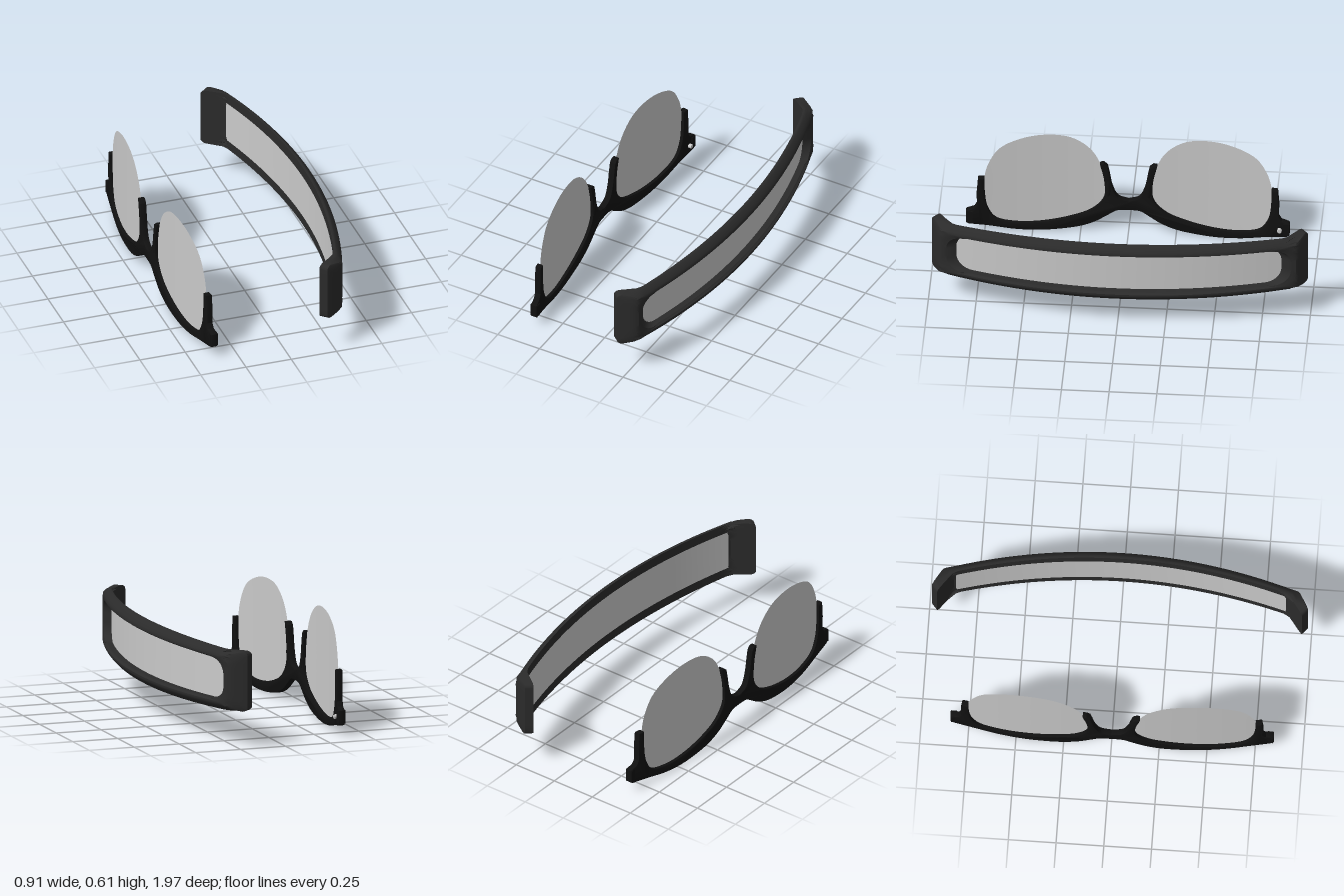
import * as THREE from 'three';
import { toCreasedNormals } from 'three/addons/utils/BufferGeometryUtils.js';

const mat = (color, side = THREE.FrontSide) => new THREE.MeshStandardMaterial({ color, side });
const lerp = THREE.MathUtils.lerp;

// Surface from a grid of points fn(i, j) -> [x, y, z]
function grid(ni, nj, fn) {
  const pos = [], index = [], w = nj + 1;
  for (let i = 0; i <= ni; i++) for (let j = 0; j <= nj; j++) pos.push(...fn(i, j));
  for (let i = 0; i < ni; i++) for (let j = 0; j < nj; j++) {
    const a = i * w + j;
    index.push(a, a + 1, a + w, a + 1, a + w + 1, a + w);
  }
  const g = new THREE.BufferGeometry();
  g.setAttribute('position', new THREE.Float32BufferAttribute(pos, 3));
  g.setIndex(index);
  return toCreasedNormals(g, 0.6);
}

const spline = (pts, n, closed = false) =>
  new THREE.CatmullRomCurve3(pts.map(([a, b]) => new THREE.Vector3(a, b, 0)), closed)
    .getPoints(n).map(p => [p.x, p.y]);

// ---- Visor ----
// Wraps flat (u, v) onto the curved band; d runs from inner face (0) to outer face (1)
function bend(u, v, d) {
  const a = Math.abs(u), k = Math.min(a / 0.9, 1), f = Math.max(0, (a - 0.9) / 0.1);
  const zi = 0.875 * k, zo = 0.935 * k;
  const inX = lerp(0.408 - 0.17 * zi * zi, 0.17, f), inZ = lerp(zi, 0.955, f);
  const outX = lerp(0.455 - 0.172 * zo * zo, 0.22, f), outZ = lerp(zo, 0.998, f);
  return [lerp(inX, outX, d), 0.3525 + v * (1 - 0.08 * a * a), Math.sign(u) * lerp(inZ, outZ, d)];
}

// Counter-clockwise rounded rectangle with a fixed number of points
function roundedLoop(w, h, r) {
  const pts = [], corners = [[1, 1], [-1, 1], [-1, -1], [1, -1]];
  corners.forEach(([sx, sy], c) => {
    for (let k = 0; k <= 8; k++) {
      const t = (c + k / 8) * Math.PI / 2;
      pts.push([sx * (w - r) + r * Math.cos(t), sy * (h - r) + r * Math.sin(t)]);
    }
    const [nx, ny] = corners[(c + 1) % 4], n = c % 2 ? 8 : 60, [px, py] = pts[pts.length - 1];
    const qx = c % 2 ? px : nx * (w - r), qy = c % 2 ? ny * (h - r) : py;
    for (let k = 1; k < n; k++) pts.push([lerp(px, qx, k / n), lerp(py, qy, k / n)]);
  });
  pts.push(pts[0]);
  return pts;
}

function visor() {
  const g = new THREE.Group();
  g.name = 'visor';
  const outer = roundedLoop(1, 0.1725, 0.025), hole = roundedLoop(0.875, 0.115, 0.085);
  // Rim section: [outer edge to opening, depth]
  const rim = [[0, 0], [0, 0.25], [0.06, 0.38], [0.3, 0.68], [0.5, 0.88], [0.7, 1], [0.85, 0.98],
    [0.93, 0.8], [1, 0.7], [1, 0], [0.8, 0], [0.6, 0], [0.4, 0], [0.2, 0], [0, 0]];
  const frame = grid(outer.length - 1, rim.length - 1, (i, k) => {
    const [t, d] = rim[k], u = lerp(outer[i][0], hole[i][0], t);
    const soft = Math.abs(outer[i][0]) > 0.95 && d > 0 ? 0.4 : 1;
    return bend(u, lerp(outer[i][1], hole[i][1], t), d ? 1 - (1 - d) * soft : 0);
  });
  const visorFrame = new THREE.Mesh(frame, mat(0x2b2b2b));
  visorFrame.name = 'visorFrame';
  const lens = new THREE.Mesh(
    grid(60, 1, (i, j) => bend((i / 30 - 1) * 0.89, (j - 0.5) * 0.238, -0.03)),
    mat(0xcccccc, THREE.DoubleSide));
  lens.name = 'visorLens';
  g.add(visorFrame, lens);
  return g;
}

// ---- Glasses ----
const glassesX = z => -0.4375 + 0.066 * (z / 0.84) ** 2;

// Lens edge as (z, y): held part from outer post to nose post, then free upper part
const heldEdge = [[0.752, 0.34], [0.75, 0.25], [0.735, 0.15], [0.69, 0.08], [0.58, 0.05], [0.45, 0.052],
  [0.3, 0.085], [0.19, 0.135], [0.13, 0.21], [0.128, 0.32], [0.15, 0.425]];
const freeEdge = [[0.205, 0.52], [0.3, 0.587], [0.42, 0.605], [0.55, 0.585], [0.67, 0.525], [0.73, 0.43]];

function glassesFrame() {
  const lower = [[0, 0.138], [0.06, 0.132], [0.11, 0.1], [0.17, 0.06], [0.25, 0.027], [0.36, 0.007],
    [0.48, 0], [0.6, 0.01], [0.72, 0.035], [0.835, 0.055]];
  const half = [
    ...spline(lower, 50),
    [0.847, 0.065], [0.847, 0.135], [0.835, 0.142], [0.805, 0.15], [0.79, 0.175], [0.792, 0.25], [0.785, 0.34],
    ...spline(heldEdge, 60),
    [0.13, 0.428], [0.11, 0.41],
    ...spline([[0.1, 0.36], [0.085, 0.28], [0.055, 0.215], [0, 0.195]], 12),
  ];
  const mirrored = half.slice(1, -1).reverse().map(([z, y]) => [-z, y]);
  const shape = new THREE.Shape([...half, ...mirrored].map(([z, y]) => new THREE.Vector2(z, y)));
  const b = 0.005;
  const geo = new THREE.ExtrudeGeometry(shape, {
    depth: 0.025, bevelThickness: b, bevelSize: b, bevelOffset: -b, bevelSegments: 2,
  }).translate(0, 0, -0.0125).rotateY(Math.PI / 2);
  const p = geo.attributes.position;
  for (let i = 0; i < p.count; i++) p.setX(i, p.getX(i) + glassesX(p.getZ(i)));
  return toCreasedNormals(geo, 0.5);
}

function glasses() {
  const g = new THREE.Group();
  g.name = 'glasses';
  const black = mat(0x111111), glass = mat(0xcccccc, THREE.DoubleSide);
  const add = (name, geo, material, x = 0, y = 0, z = 0) => {
    const m = new THREE.Mesh(geo, material);
    m.name = name;
    m.position.set(x, y, z);
    g.add(m);
    return m;
  };
  add('glassesFrame', glassesFrame(), black);
  const edge = spline([...heldEdge, ...freeEdge], 96, true);
  for (const s of [1, -1]) {
    const side = s > 0 ? 'left' : 'right';
    // Curved lens filled by rings around its centre
    add(side + 'Lens', grid(96, 8, (i, j) => {
      const z = s * lerp(0.44, edge[i][0], j / 8);
      return [glassesX(z), lerp(0.32, edge[i][1], j / 8), z];
    }), glass);
    add(side + 'NosePad', new THREE.SphereGeometry(1, 20, 14), black, -0.43, 0.27, s * 0.107)
      .scale.set(0.016, 0.07, 0.018);
    add(side + 'EndBlock', new THREE.BoxGeometry(0.04, 0.07, 0.03), black, -0.372, 0.1, s * 0.828);
  }
  // Single hinge peg on one end
  add('hingePeg', new THREE.CylinderGeometry(0.012, 0.012, 0.03, 20).rotateZ(Math.PI / 2),
    mat(0xcccccc), -0.36, 0.096, -0.795);
  return g;
}

export function createModel() {
  const model = new THREE.Group();
  model.name = 'eyewearSet';
  model.add(visor(), glasses());
  return model;
}
